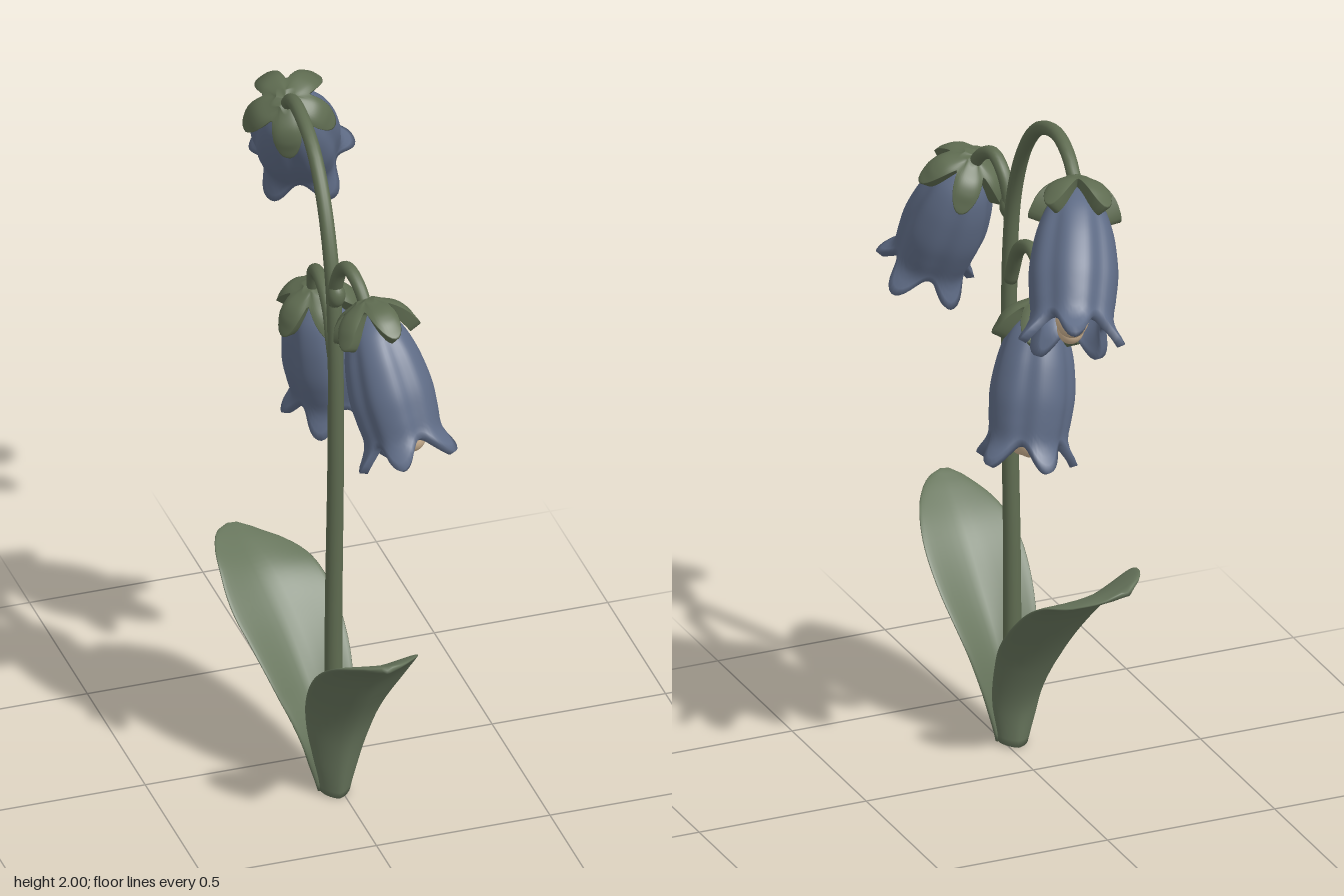
import * as THREE from 'three';

const V = (x, y, z) => new THREE.Vector3(x, y, z);
const material = (name, color) => Object.assign(new THREE.MeshStandardMaterial({ color, side: THREE.DoubleSide }), { name });

// Smooth function through evenly spaced values, t from 0 to 1
const smooth = (values) => {
  const curve = new THREE.SplineCurve(values.map((v, i) => new THREE.Vector2(i, v)));
  return (t) => curve.getPoint(Math.min(Math.max(t, 0), 1)).y;
};

// Skin a list of closed rings with smooth normals
function loft(name, mat, rings) {
  const n = rings[0].length, index = [];
  for (let i = 0; i < rings.length - 1; i++) {
    for (let j = 0; j < n; j++) {
      const k = (j + 1) % n, a = i * n, b = a + n;
      index.push(a + j, a + k, b + j, a + k, b + k, b + j);
    }
  }
  const geometry = new THREE.BufferGeometry().setFromPoints(rings.flat());
  geometry.setIndex(index);
  geometry.computeVertexNormals();
  const mesh = new THREE.Mesh(geometry, mat);
  mesh.name = name;
  return mesh;
}

// Sweep an oval section, optionally cupped, along a path
function sweep(name, mat, points, side, width, thick, cup, steps, sides) {
  const path = new THREE.CatmullRomCurve3(points.map((p) => V(...p)));
  const rings = [];
  for (let i = -1; i <= steps + 1; i++) {
    const t = Math.min(Math.max(i / steps, 0), 1);
    const closed = i < 0 || i > steps ? 0 : 1;
    const T = path.getTangentAt(t);
    const S = side.clone().addScaledVector(T, -side.dot(T)).normalize();
    const N = T.clone().cross(S);
    const center = path.getPointAt(t);
    const ring = [];
    for (let j = 0; j < sides; j++) {
      const a = (j / sides) * Math.PI * 2, u = Math.cos(a) * closed;
      ring.push(center.clone()
        .addScaledVector(S, u * width(t))
        .addScaledVector(N, Math.sin(a) * thick(t) * closed + cup(t) * Math.abs(u) ** 1.4));
    }
    rings.push(ring);
  }
  return loft(name, mat, rings);
}

// Five-lobed hollow cup hanging along -y; theta runs from +x to +z
function lobedCup(name, mat, { radii, total, base, tip, power, wall, groove, phase }) {
  const radius = smooth(radii), steps = 22, sides = 80, rings = [];
  for (let i = 0; i <= steps * 2 + 1; i++) {
    const inner = i > steps;
    const t = (inner ? steps * 2 + 1 - i : i) / steps;
    const ring = [];
    for (let j = 0; j < sides; j++) {
      const a = (j / sides) * Math.PI * 2;
      const q = 0.5 + 0.5 * Math.cos(5 * (a - phase));
      const s = t * (base + tip * q ** power);
      let r = radius(s / total) * (1 - groove * (1 - q) ** 3 * Math.min(1, t * 3));
      if (inner) r = Math.max(r - wall, 0);
      if (i === 0) r = 0;
      ring.push(V(r * Math.cos(a), -s - (inner ? wall * 0.4 : 0), r * Math.sin(a)));
    }
    rings.push(ring);
  }
  return loft(name, mat, rings);
}

function ellipsoid(name, mat, position, scale) {
  const mesh = new THREE.Mesh(new THREE.SphereGeometry(1, 20, 14), mat);
  mesh.name = name;
  mesh.position.set(...position);
  mesh.scale.set(...scale);
  return mesh;
}

export function createModel() {
  const group = new THREE.Group();
  group.name = 'bellFlowerPlant';
  const stemGreen = material('stem green', 0x5f6c51);
  const leafGreen = material('leaf green', 0x67755c);
  const petalBlue = material('petal blue', 0x5f6c86);
  const cream = material('stamen cream', 0xd0b594);
  const flat = () => 0;
  const X = V(1, 0, 0);

  // Main stem and two branches
  const stems = [
    ['mainStem', 0.026, 0.019, 70, [[-0.02, 0, 0.19], [-0.02, 0.3, 0.187], [-0.02, 0.6, 0.19], [-0.02, 1.13, 0.208],
      [-0.02, 1.5, 0.2], [-0.02, 1.68, 0.168], [-0.015, 1.84, 0.085], [-0.01, 1.94, -0.02],
      [-0.005, 1.978, -0.15], [0.005, 1.955, -0.25], [0.015, 1.9, -0.32]]],
    ['frontBranch', 0.02, 0.018, 30, [[-0.02, 1.57, 0.195], [-0.02, 1.64, 0.212], [-0.015, 1.70, 0.24], [-0.01, 1.732, 0.29],
      [0, 1.71, 0.345], [0.01, 1.65, 0.395]]],
    ['backBranch', 0.02, 0.018, 30, [[-0.02, 1.39, 0.2], [-0.02, 1.44, 0.178], [-0.015, 1.5, 0.14], [-0.01, 1.543, 0.08],
      [-0.005, 1.555, 0.01], [0.005, 1.515, -0.06], [0.015, 1.42, -0.09]]],
  ];
  for (const [name, r0, r1, steps, points] of stems) {
    const r = (t) => r0 + (r1 - r0) * t;
    group.add(sweep(name, stemGreen, points, X, r, r, flat, steps, 14));
  }

  // Swelling where the front branch leaves the stem
  group.add(ellipsoid('branchNode', stemGreen, [-0.02, 1.605, 0.213], [0.025, 0.036, 0.026]));

  // Two cupped leaves rising from the base
  const leaves = [
    ['frontLeaf', X, [0.043, 0.068, 0.098, 0.124, 0.14, 0.142, 0.122, 0.09],
      [[-0.018, 0.005, 0.215], [-0.012, 0.23, 0.27], [0, 0.40, 0.365], [0.005, 0.53, 0.465], [0, 0.605, 0.565], [-0.01, 0.637, 0.625]]],
    ['backLeaf', V(-1, 0.4, -0.1), [0.043, 0.07, 0.1, 0.13, 0.15, 0.16, 0.155, 0.125],
      [[-0.02, 0.005, 0.165], [-0.03, 0.13, 0.15], [-0.055, 0.27, 0.085], [-0.09, 0.43, -0.025],
        [-0.125, 0.54, -0.12], [-0.15, 0.59, -0.2], [-0.165, 0.615, -0.265]]],
  ];
  const leafCup = smooth([0.02, 0.04, 0.053, 0.045, 0.025, 0.005]);
  for (const [name, side, widths, points] of leaves) {
    const width = smooth(widths);
    group.add(sweep(name, leafGreen, points, side,
      (t) => width(t) * Math.sqrt(1 - t ** 9 * 0.97),
      (t) => 0.022 - 0.012 * t, leafCup, 40, 32));
  }

  // Three hanging bells: start at the calyx, end at the mouth, turn of the petals
  const flowers = [
    ['topFlower', [0.015, 1.905, -0.325], [0.14, 1.57, -0.57], -75, 1.04],
    ['frontFlower', [0.01, 1.67, 0.395], [0.07, 1.3, 0.556], 44, 1],
    ['backFlower', [0.015, 1.44, -0.085], [0.09, 1.05, -0.155], -93, 1],
  ];
  for (const [name, start, end, degrees, scale] of flowers) {
    const flower = new THREE.Group();
    flower.name = name;
    const phase = THREE.MathUtils.degToRad(degrees);

    // Petals fused into a bell with short curled tips
    flower.add(lobedCup('petals', petalBlue, {
      radii: [0.02, 0.074, 0.1, 0.113, 0.119, 0.115, 0.112, 0.146],
      total: 0.44, base: 0.375, tip: 0.065, power: 1.2, wall: 0.02, groove: 0.08, phase,
    }));

    // Thick calyx star over the top of the bell
    const calyx = lobedCup('calyx', stemGreen, {
      radii: [0.025, 0.078, 0.104, 0.117, 0.128],
      total: 0.11, base: 0.024, tip: 0.086, power: 0.9, wall: 0.034, groove: 0.1, phase: phase + Math.PI / 5,
    });
    calyx.position.y = 0.022;
    flower.add(calyx);

    // Stamen cluster in the mouth
    flower.add(ellipsoid('pistil', cream, [0, -0.24, 0], [0.018, 0.14, 0.018]));
    for (const [side, drop, size] of [[0.02, 0.372, 0.044], [-0.03, 0.385, 0.036]]) {
      flower.add(ellipsoid('stamen', cream, [Math.cos(phase) * side, -drop, Math.sin(phase) * side], [size, size * 1.15, size]));
    }

    // Aim the bell while keeping its x axis close to the model's
    const up = V(...start).sub(V(...end)).normalize();
    const u = X.clone().addScaledVector(up, -up.x).normalize();
    flower.quaternion.setFromRotationMatrix(new THREE.Matrix4().makeBasis(u, up, u.clone().cross(up)));
    flower.position.set(...start);
    flower.scale.setScalar(scale);
    group.add(flower);
  }
  return group;
}
